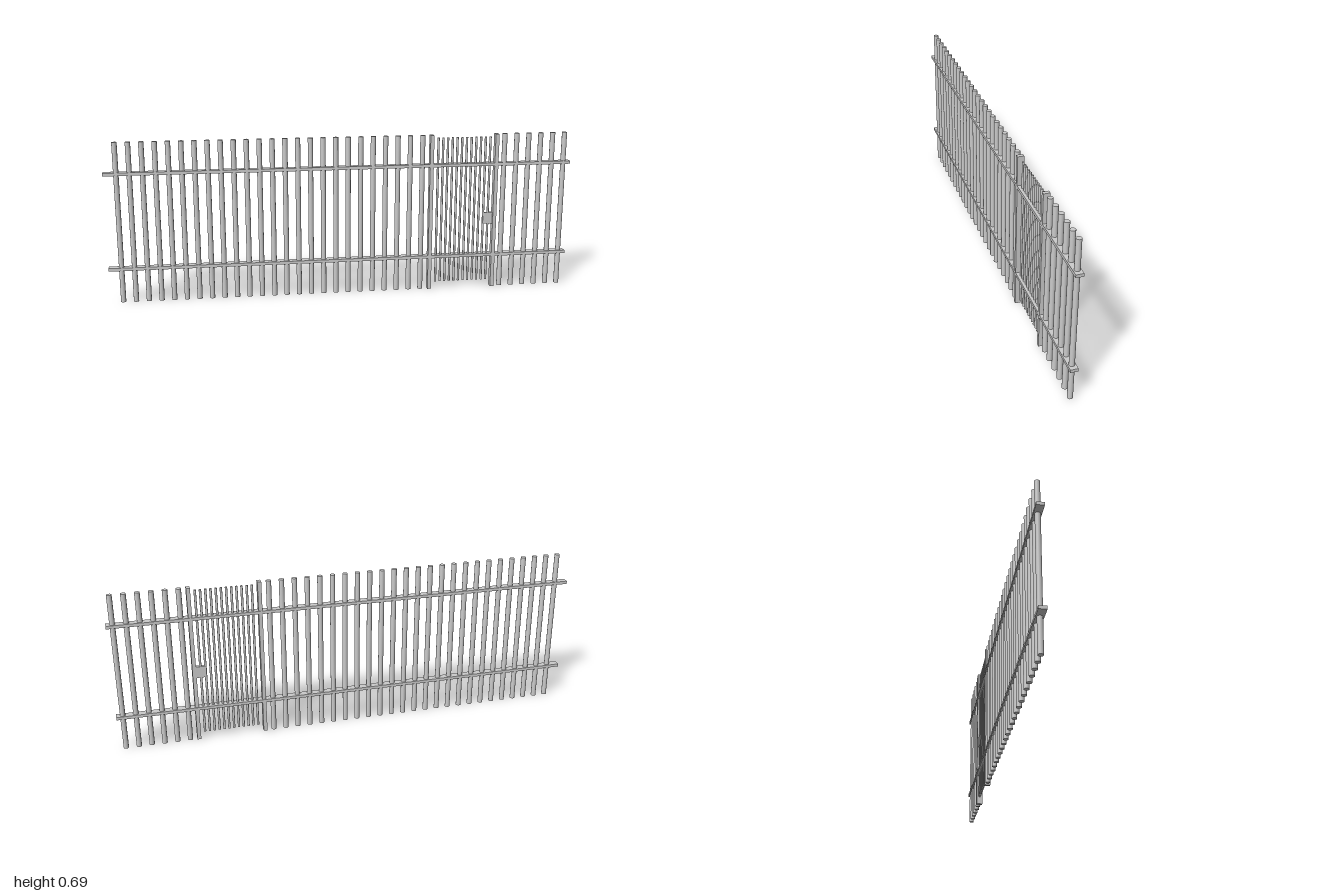
import * as THREE from 'three';

const material = new THREE.MeshStandardMaterial({ color: 0xcccccc });

export function createModel() {
  const fence = new THREE.Group();
  fence.name = 'fence';

  const add = (name, geometry, x, y, z = 0, parent = fence) => {
    const mesh = new THREE.Mesh(geometry, material);
    mesh.name = name;
    mesh.position.set(x, y, z);
    parent.add(mesh);
    return mesh;
  };

  const H = 0.687;      // fence height
  const step = 0.0537;  // picket spacing

  // Round pickets on both sides of the gate
  const picketGeo = new THREE.CylinderGeometry(0.011, 0.011, H, 16);
  for (let i = 0; i < 25; i++) add('picket', picketGeo, -0.947 + i * step, H / 2);
  for (let i = 0; i < 6; i++) add('picket', picketGeo, 0.705 + i * step, H / 2);

  // Square posts framing the gate
  const postGeo = new THREE.BoxGeometry(0.016, H, 0.027);
  for (const x of [0.381, 0.668]) add('gatePost', postGeo, x, H / 2, 0.002);

  // Horizontal rails: left run, gate, right run
  for (const y of [0.147, 0.555]) {
    for (const [name, x0, x1] of [
      ['rail', -1, 0.381], ['gateRail', 0.381, 0.668], ['rail', 0.668, 1],
    ]) {
      add(name, new THREE.BoxGeometry(x1 - x0, 0.013, 0.031), (x0 + x1) / 2, y);
    }
  }

  // Gate with thin, closely spaced bars
  const gate = new THREE.Group();
  gate.name = 'gate';
  fence.add(gate);
  const barGeo = new THREE.CylinderGeometry(0.005, 0.005, 0.645, 12);
  for (let i = 0; i < 12; i++) add('gateBar', barGeo, 0.411 + i * 0.0209, 0.352, 0, gate);

  // Lock case between the last bar and the post
  add('lockCase', new THREE.BoxGeometry(0.042, 0.05, 0.014), 0.639, 0.313, 0, gate);

  return fence;
}
